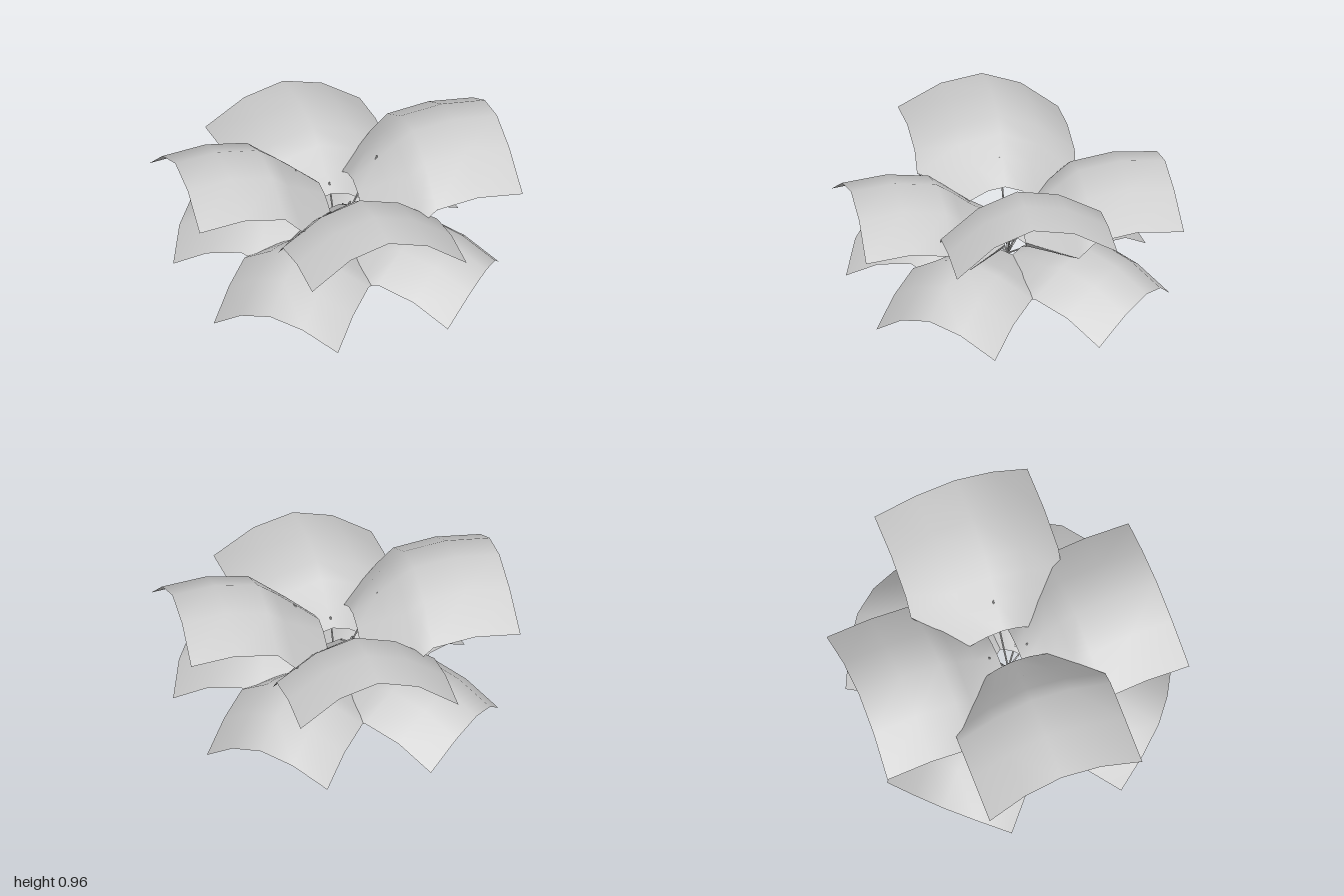
import * as THREE from 'three';

const material = new THREE.MeshStandardMaterial({ color: 0xcccccc, side: THREE.DoubleSide });

// Leaf rows from inner to outer end: distance, height, half width, droop of the side edges
const INNER = { halfWidth: 0.2, droop: 0.09 };
const ROWS = [
  [0.15, 0.175, 0.355, 0.175],
  [0.26, 0.262, 0.47, 0.255],
  [0.36, 0.33, 0.475, 0.225],
  [0.61, 0.365, 0.475, 0.222],
  [0.87, 0.34, 0.475, 0.225],
];
const COLS = [-1, -0.5, 0, 0.5, 1];

function surface(positions, indices) {
  const g = new THREE.BufferGeometry();
  g.setAttribute('position', new THREE.Float32BufferAttribute(positions, 3));
  g.setIndex(indices);
  g.computeVertexNormals();
  return g;
}

// Domed leaf blade, arched along its length and across its width
function bladeGeometry(rows) {
  const pos = [], idx = [], n = COLS.length;
  rows.forEach(([r, y, w, drop], i) => {
    for (const u of COLS) {
      const flare = i === rows.length - 1 ? 0.012 * u * u : 0;
      pos.push(r + flare, y - drop * Math.abs(u) ** 1.8, u * w);
    }
    if (i === 0) return;
    for (let j = 0; j < n - 1; j++) {
      const a = (i - 1) * n + j, c = i * n + j;
      idx.push(a, a + 1, c, a + 1, c + 1, c);
    }
  });
  return surface(pos, idx);
}

// Inner corner of the blade, hanging down below the slanted edge
function foldGeometry(rows, tip, side) {
  const corner = ([r, y, w, drop]) => [r, y - drop, side * w];
  return surface([...corner(rows[0]), ...corner(rows[2]), tip[0], tip[1], side * tip[2]],
    side > 0 ? [0, 2, 1] : [0, 1, 2]);
}

// One leaf with its stem; angle runs from +x towards +z
function makeLeaf(name, { angle, x, y, inner, tip, stemEnd, pitch = 0, roll = 0, scale = [1, 1, 1] }) {
  const leaf = new THREE.Group();
  leaf.name = name;
  leaf.rotation.y = -THREE.MathUtils.degToRad(angle);

  const rows = [[0, inner, INNER.halfWidth, INNER.droop], ...ROWS];
  const bladeGroup = new THREE.Group();
  bladeGroup.name = 'leafBlade';
  bladeGroup.position.set(x, y, 0);
  bladeGroup.rotation.set(THREE.MathUtils.degToRad(roll), 0, THREE.MathUtils.degToRad(pitch));
  bladeGroup.scale.set(...scale);
  const blade = new THREE.Mesh(bladeGeometry(rows), material);
  blade.name = 'blade';
  bladeGroup.add(blade);
  for (const side of [-1, 1]) {
    const fold = new THREE.Mesh(foldGeometry(rows, tip, side), material);
    fold.name = 'foldedCorner';
    bladeGroup.add(fold);
  }

  // Straight stem from the trunk to the inner part of the blade
  const path = new THREE.LineCurve3(new THREE.Vector3(0, 0.27, 0), new THREE.Vector3(...stemEnd, 0));
  const stem = new THREE.Mesh(new THREE.TubeGeometry(path, 1, 0.005, 6), material);
  stem.name = 'stem';

  leaf.add(bladeGroup, stem);
  return leaf;
}

export function createModel() {
  const model = new THREE.Group();
  model.name = 'plant';

  const trunk = new THREE.Mesh(new THREE.CylinderGeometry(0.008, 0.012, 0.34, 8), material);
  trunk.name = 'trunk';
  trunk.position.y = 0.17;
  model.add(trunk);

  // Upper pair, left and right, each rolled a little to one side
  const upper = { y: 0.59, inner: 0.05, tip: [0.01, -0.18, 0.18], stemEnd: [0.25, 0.77], roll: 5.5 };
  model.add(makeLeaf('upperLeafLeft', { ...upper, angle: 2.2, x: 0.1 }));
  model.add(makeLeaf('upperLeafRight', { ...upper, angle: 182, x: 0.1, y: 0.6 }));

  // Middle pair, front and back
  const middle = { y: 0.435, inner: 0.09, tip: [0.01, -0.035, 0.18], stemEnd: [0.12, 0.565] };
  model.add(makeLeaf('middleLeafFront', { ...middle, angle: 90.8, x: 0.06 }));
  model.add(makeLeaf('middleLeafBack', { ...middle, angle: 270.8, x: 0.062 }));

  // Four lower leaves on the diagonals, tilted outwards and narrower
  const lower = {
    x: 0.08, y: 0.317, inner: 0.02, tip: [0.14, -0.07, 0.2], stemEnd: [0.2, 0.39],
    pitch: -25.5, scale: [0.92, 0.93, 0.83],
  };
  for (const angle of [42, 134, 226, 314]) {
    model.add(makeLeaf('lowerLeaf', { ...lower, angle }));
  }
  return model;
}
